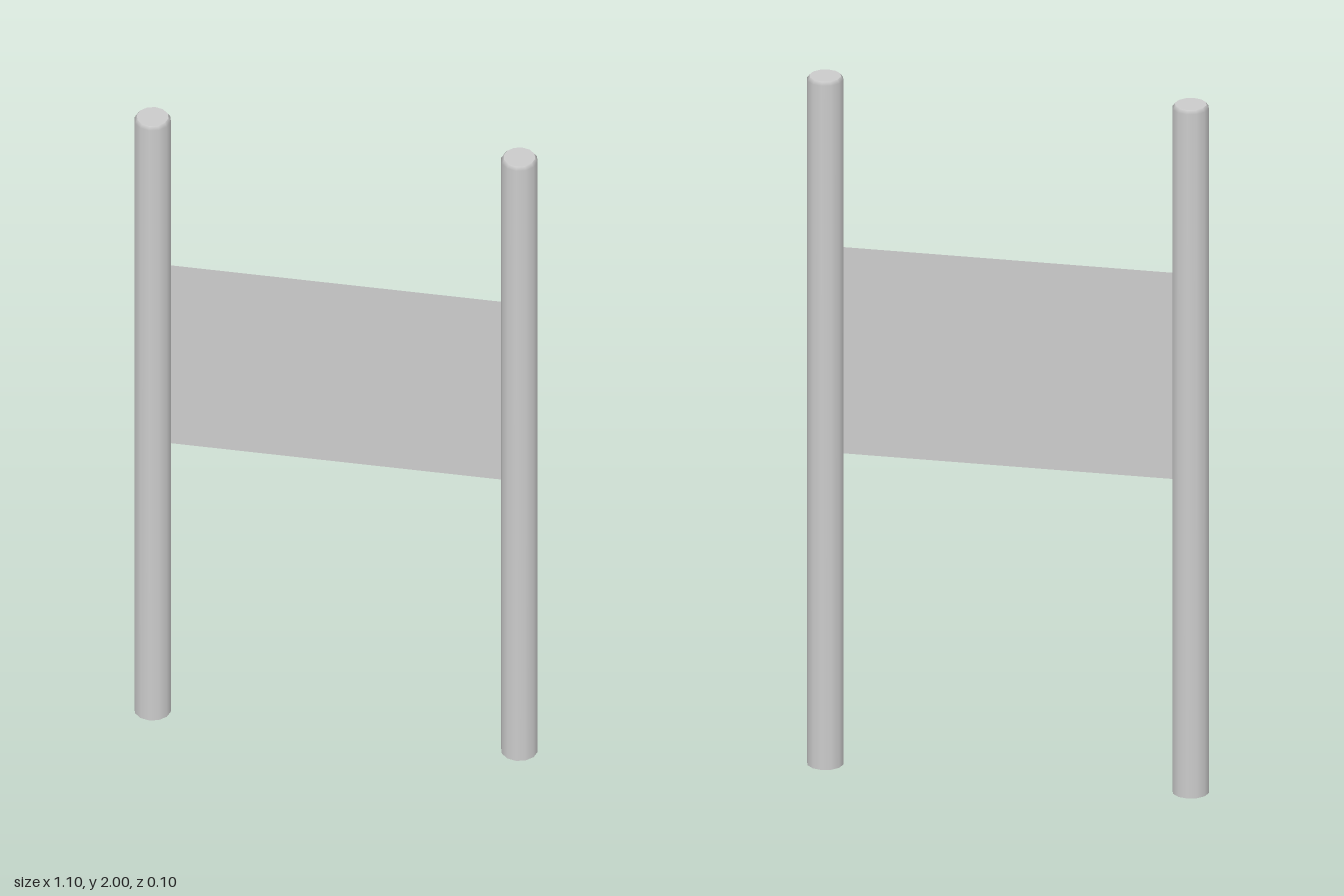
import * as THREE from 'three';

const SIDES = 12;
const RADIUS = 0.05;
const TOP_RADIUS = 0.043;
const HEIGHT = 2;
const BEVEL = 0.01;

export function createModel() {
  const model = new THREE.Group();
  model.name = 'signFrame';
  const material = new THREE.MeshStandardMaterial({ color: 0xcccccc, side: THREE.DoubleSide });

  // Hollow post, open at the foot, with a small bevel at the top
  const profile = [
    [RADIUS, 0],
    [RADIUS, HEIGHT - BEVEL],
    [TOP_RADIUS, HEIGHT],
  ].map(([r, y]) => new THREE.Vector2(r, y));
  const postGeometry = new THREE.LatheGeometry(profile, SIDES);

  // Flat lid closing the post
  const capGeometry = new THREE.CircleGeometry(TOP_RADIUS, SIDES);
  capGeometry.rotateX(-Math.PI / 2).translate(0, HEIGHT, 0);

  for (const [side, x] of [['left', 0.5], ['right', -0.5]]) {
    const post = new THREE.Group();
    post.name = side + 'Post';
    const shaft = new THREE.Mesh(postGeometry, material);
    shaft.name = side + 'PostShaft';
    const cap = new THREE.Mesh(capGeometry, material);
    cap.name = side + 'PostCap';
    post.add(shaft, cap);
    post.position.x = x;
    model.add(post);
  }

  // Thin panel spanning the gap between the posts
  const panel = new THREE.Mesh(new THREE.PlaneGeometry(0.9, 0.6), material);
  panel.name = 'panel';
  panel.position.y = 1.205;
  model.add(panel);

  return model;
}
